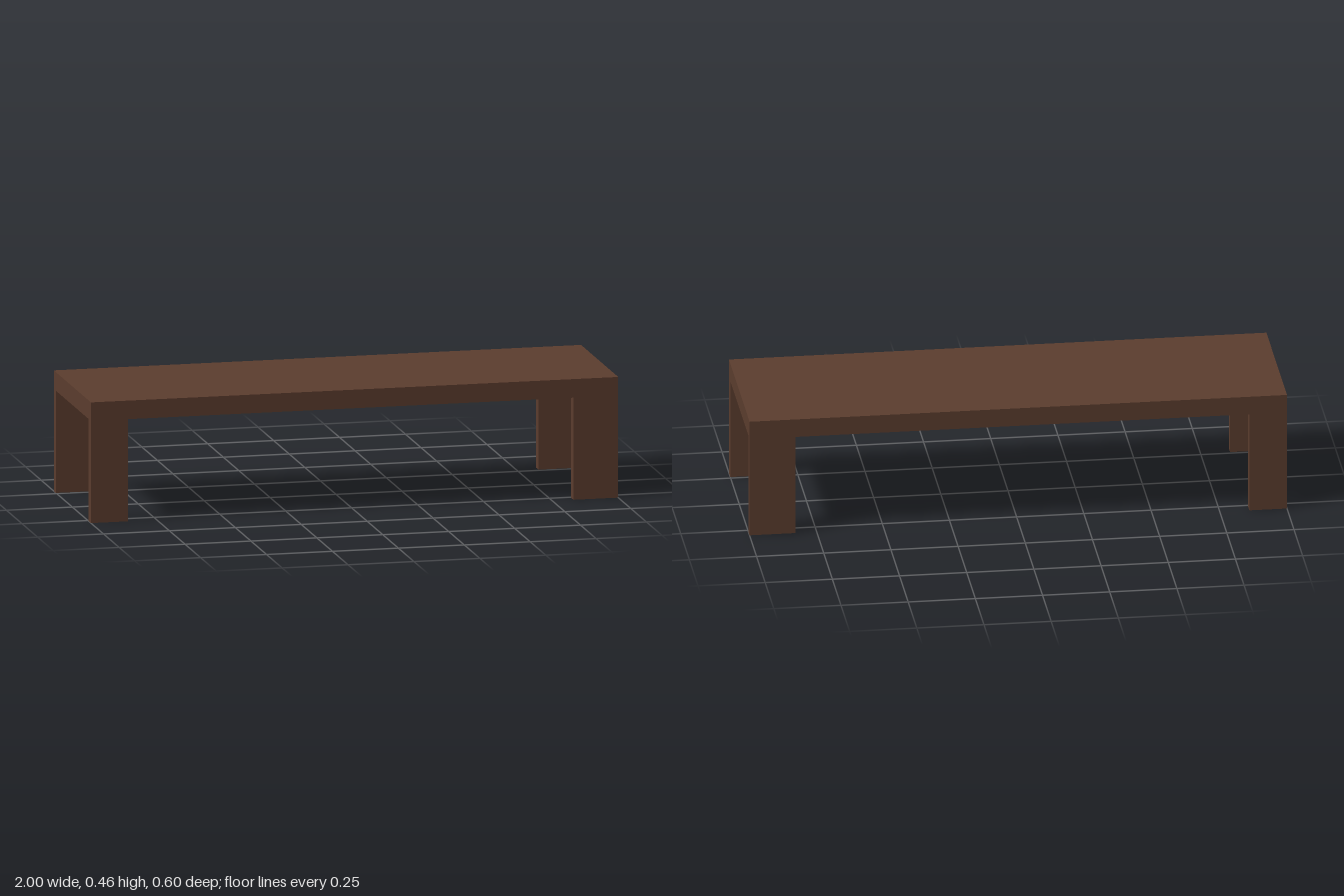
import * as THREE from 'three';

export function createModel() {
  const model = new THREE.Group();
  model.name = 'lowTable';

  const brownWood = new THREE.MeshStandardMaterial({ color: 0x5c3d2e });
  brownWood.name = 'brownWood';

  const halfDepth = 0.298, height = 0.455, legHeight = 0.385;

  // Box given by its extents along x, y and z
  function box(name, [x0, x1], [y0, y1], [z0, z1]) {
    const mesh = new THREE.Mesh(new THREE.BoxGeometry(x1 - x0, y1 - y0, z1 - z0), brownWood);
    mesh.position.set((x0 + x1) / 2, (y0 + y1) / 2, (z0 + z1) / 2);
    mesh.name = name;
    model.add(mesh);
  }

  // Solid slab top
  box('tableTop', [-1, 1], [legHeight, height], [-halfDepth, halfDepth]);

  // Flat board legs flush with the corners, slightly wider at the left end
  const ends = [['Right', [-1, -0.86]], ['Left', [0.83, 1]]];
  const sides = [['front', [0.26, halfDepth]], ['back', [-halfDepth, -0.263]]];
  for (const [end, xs] of ends) {
    for (const [side, zs] of sides) box(`${side}${end}Leg`, xs, [0, legHeight], zs);
  }

  return model;
}
